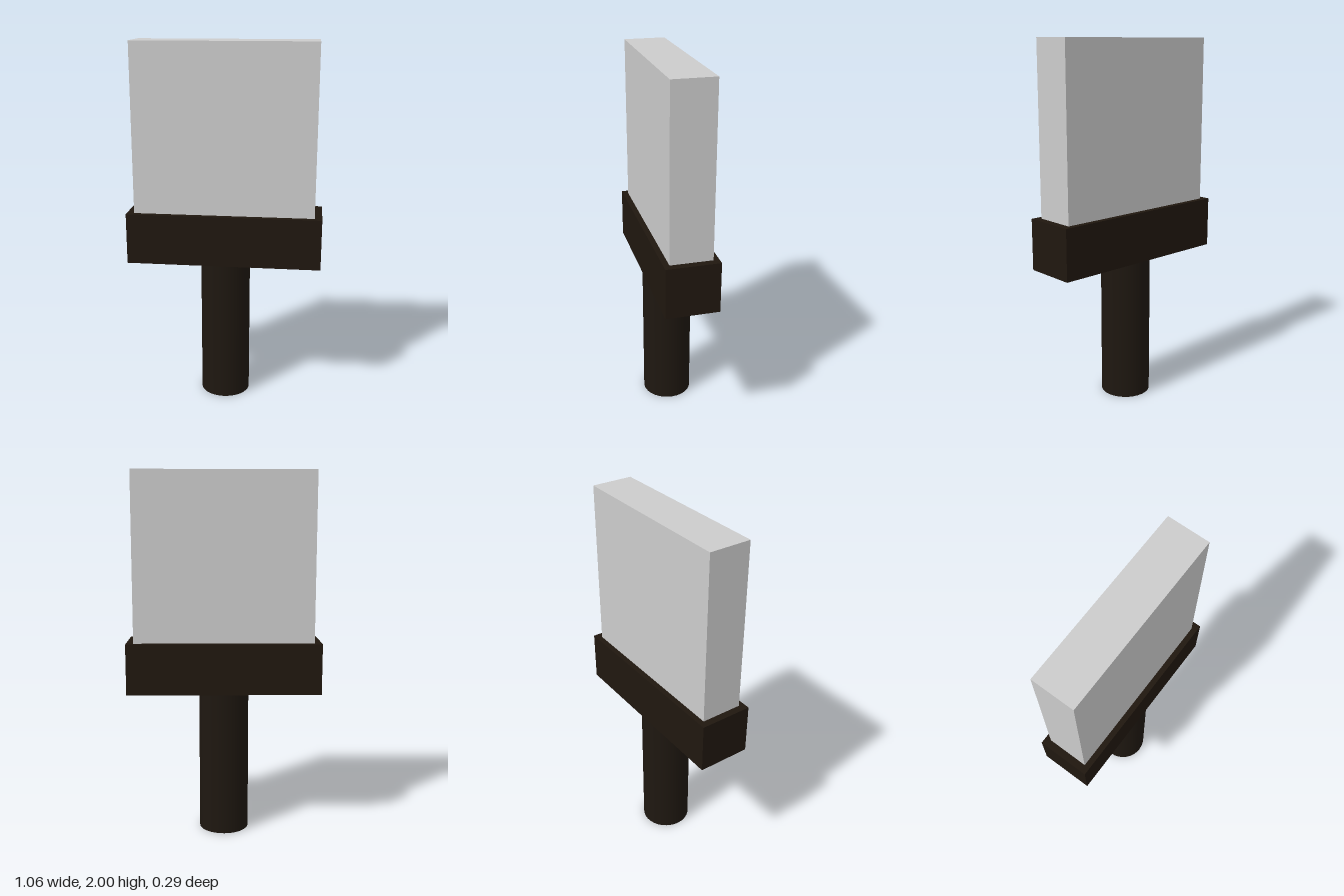
import * as THREE from 'three';

export function createModel() {
  const model = new THREE.Group();
  const grey = new THREE.MeshStandardMaterial({ color: 0xcccccc });
  const darkBrown = new THREE.MeshStandardMaterial({ color: 0x20170f });
  const darkGrip = new THREE.MeshStandardMaterial({ color: 0x1e1710 });

  // Adds a part standing between two heights
  const add = (name, geometry, material, y0, y1) => {
    const mesh = new THREE.Mesh(geometry, material);
    mesh.name = name;
    mesh.position.y = (y0 + y1) / 2;
    model.add(mesh);
  };

  // Round grip, standing on the ground
  add('handle', new THREE.CylinderGeometry(0.138, 0.138, 0.8, 32), darkGrip, 0, 0.8);
  // Wide block that holds the slab
  add('collar', new THREE.BoxGeometry(1.064, 0.28, 0.29), darkBrown, 0.8, 1.08);
  // Flat slab, seated in the collar
  add('slab', new THREE.BoxGeometry(0.984, 1.0, 0.228), grey, 1.0, 2.0);

  return model;
}
